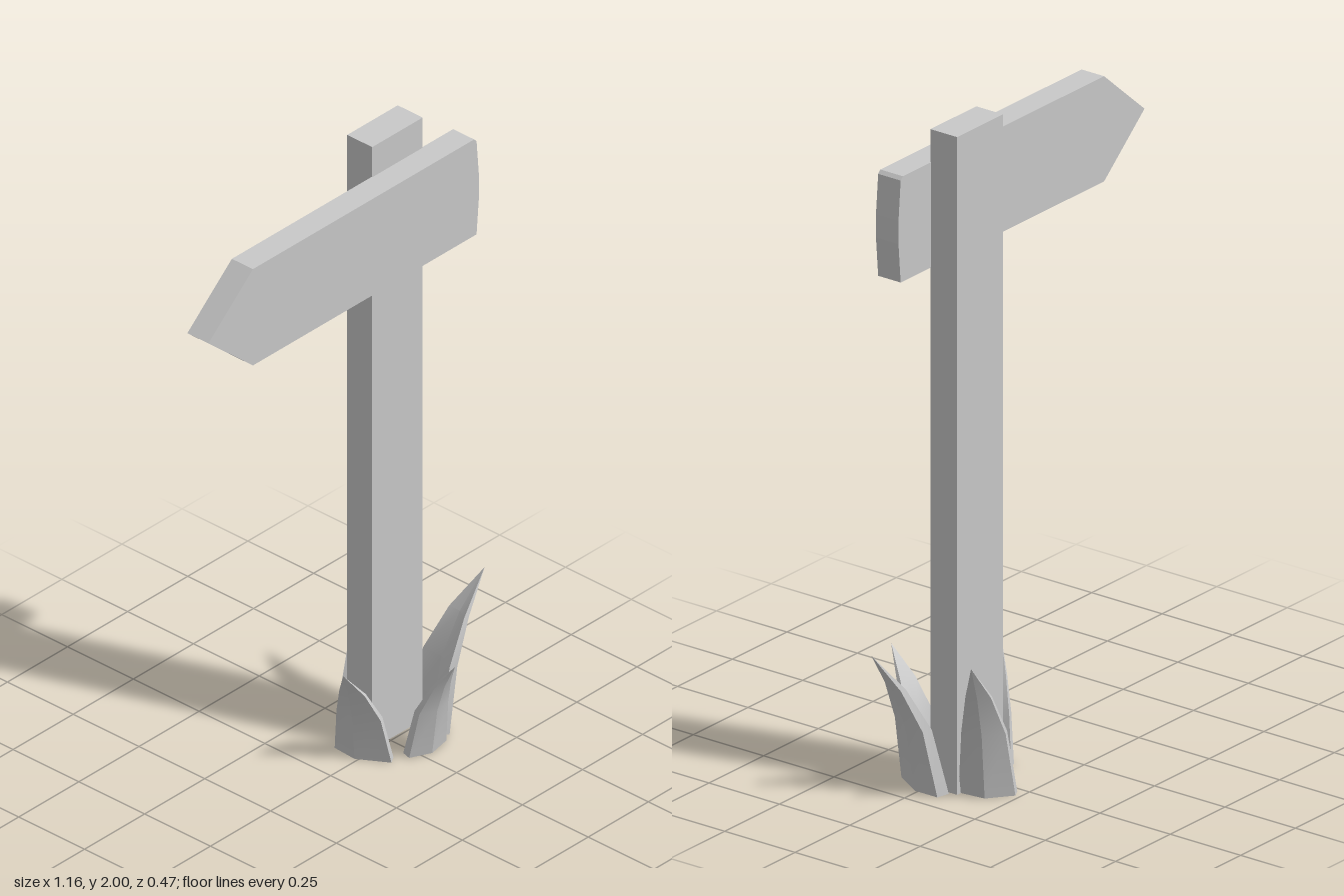
import * as THREE from 'three';
import { toCreasedNormals } from 'three/addons/utils/BufferGeometryUtils.js';

// Share of the way from base to tip: height t, outward shift u
const LEVELS = [[0, 0], [0.45, 0.22], [0.74, 0.55]];

// ring: six [x, z] base points, three outer then three inner, counterclockwise from above
function bladeGeometry(ring, tip) {
  const n = ring.length;
  const pos = [];
  const index = [];
  for (const [t, u] of LEVELS) {
    for (const [x, z] of ring) {
      pos.push(x + (tip[0] - x) * u, tip[1] * t, z + (tip[2] - z) * u);
    }
  }
  pos.push(...tip);
  const top = LEVELS.length * n;
  for (let l = 0; l < LEVELS.length; l++) {
    for (let i = 0; i < n; i++) {
      const a = l * n + i;
      const b = l * n + (i + 1) % n;
      if (l === LEVELS.length - 1) index.push(a, b, top);
      else index.push(a, b, b + n, a, b + n, a + n);
    }
  }
  // underside
  index.push(0, 5, 4, 0, 4, 1, 1, 4, 3, 1, 3, 2);
  const geo = new THREE.BufferGeometry();
  geo.setAttribute('position', new THREE.Float32BufferAttribute(pos, 3));
  geo.setIndex(index);
  return toCreasedNormals(geo, 0.45);
}

export function createModel() {
  const group = new THREE.Group();
  const grey = new THREE.MeshStandardMaterial({ color: 0xc8c8c8 });
  grey.name = 'grey';

  const add = (name, geo) => {
    const mesh = new THREE.Mesh(geo, grey);
    mesh.name = name;
    group.add(mesh);
    return mesh;
  };

  // upright post
  add('post', new THREE.BoxGeometry(0.21, 2, 0.095)).position.set(0.286, 1, -0.055);

  // arrow board with a slightly bowed blunt end
  const outline = [
    [-0.585, 1.74], [-0.4, 1.58], [0.53, 1.58], [0.54, 1.7],
    [0.54, 1.77], [0.53, 1.89], [0.52, 1.9], [-0.4, 1.9],
  ];
  const board = new THREE.Shape(outline.map(([x, y]) => new THREE.Vector2(x, y)));
  add('arrowBoard', new THREE.ExtrudeGeometry(board, { depth: 0.08, bevelEnabled: false }))
    .position.z = -0.01;

  // grass blades around the foot of the post
  const blades = {
    grassFront: [
      [[0.217, 0.1], [0.28, 0.13], [0.355, 0.115], [0.355, 0.085], [0.285, 0.09], [0.225, 0.07]],
      [0.265, 0.335, 0.23],
    ],
    grassLeft: [
      [[0.385, 0.1], [0.44, 0.01], [0.44, -0.07], [0.4, -0.08], [0.4, 0.01], [0.36, 0.085]],
      [0.58, 0.445, 0.055],
    ],
    grassRight: [
      [[0.115, -0.09], [0.11, -0.01], [0.165, 0.08], [0.19, 0.065], [0.16, -0.015], [0.14, -0.1]],
      [0.03, 0.325, 0.02],
    ],
    grassBack: [
      [[0.375, -0.095], [0.365, -0.18], [0.295, -0.235], [0.267, -0.22], [0.32, -0.145], [0.325, -0.095]],
      [0.485, 0.445, -0.225],
    ],
  };
  for (const [name, [ring, tip]] of Object.entries(blades)) add(name, bladeGeometry(ring, tip));

  return group;
}
